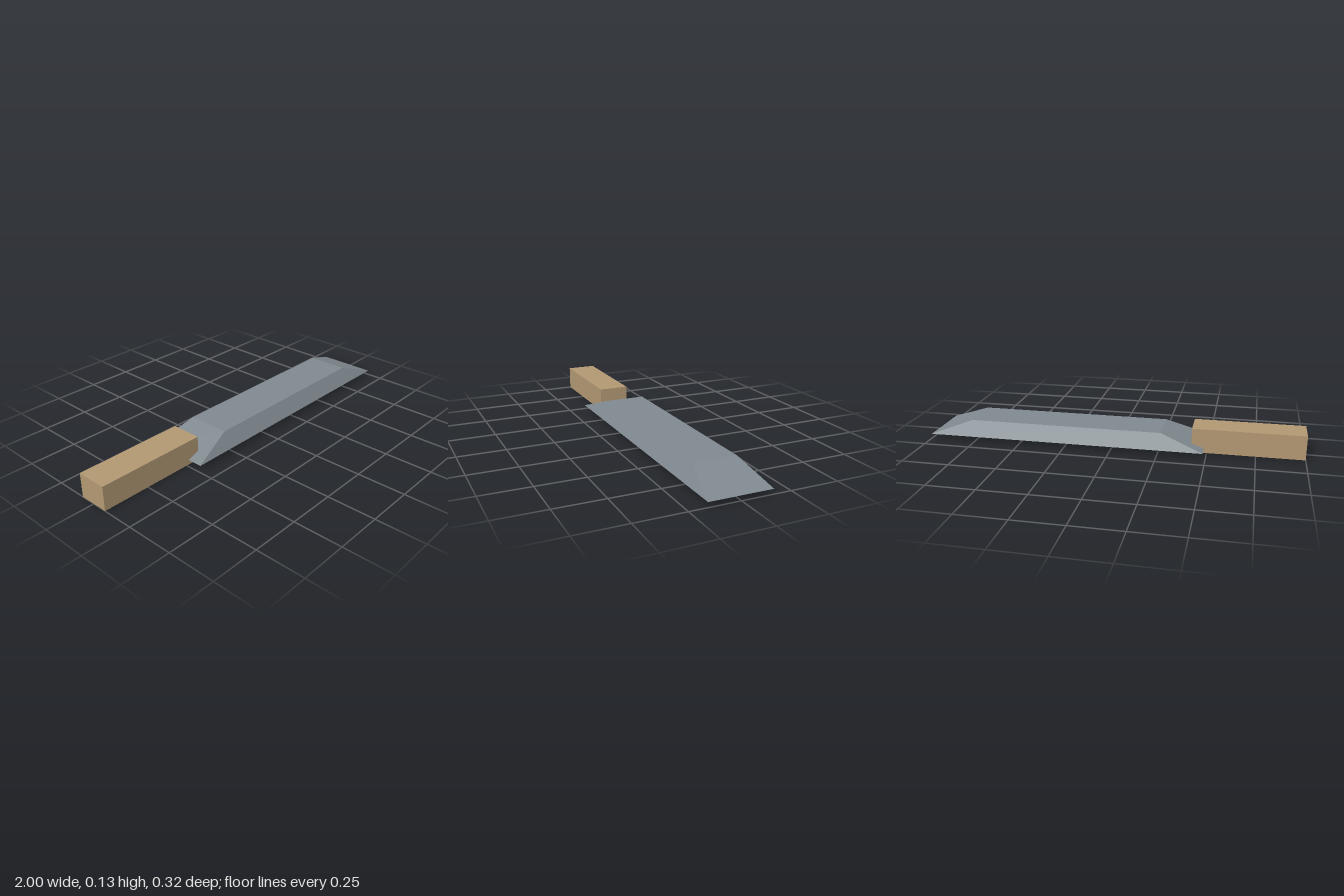
import * as THREE from 'three';

// Box whose top face is inset on each side, forming bevelled edges
function bevelledSlab(bottom, top, y0, y1) {
  const geo = new THREE.BoxGeometry(1, 1, 1).toNonIndexed();
  const pos = geo.attributes.position;
  for (let i = 0; i < pos.count; i++) {
    const upper = pos.getY(i) > 0;
    const r = upper ? top : bottom;
    pos.setXYZ(i, pos.getX(i) > 0 ? r.x1 : r.x0, upper ? y1 : y0, Math.sign(pos.getZ(i)) * r.z);
  }
  geo.computeVertexNormals();
  return geo;
}

export function createModel() {
  const wood = new THREE.MeshStandardMaterial({ name: 'wood', color: 0xb29873 });
  const steel = new THREE.MeshStandardMaterial({ name: 'steel', color: 0x7f898f });
  const model = new THREE.Group();
  model.name = 'blade tool';

  // Square wooden grip
  const handle = new THREE.Mesh(new THREE.BoxGeometry(0.58, 0.129, 0.162), wood);
  handle.name = 'handle';
  handle.position.set(-0.71, 0.0645, 0);

  // Flat-bottomed blade, bevelled on all four sides
  const blade = new THREE.Mesh(
    bevelledSlab({ x0: -0.485, x1: 1, z: 0.161 }, { x0: -0.262, x1: 0.775, z: 0.113 }, 0.025, 0.105),
    steel
  );
  blade.name = 'blade';

  model.add(handle, blade);
  return model;
}
